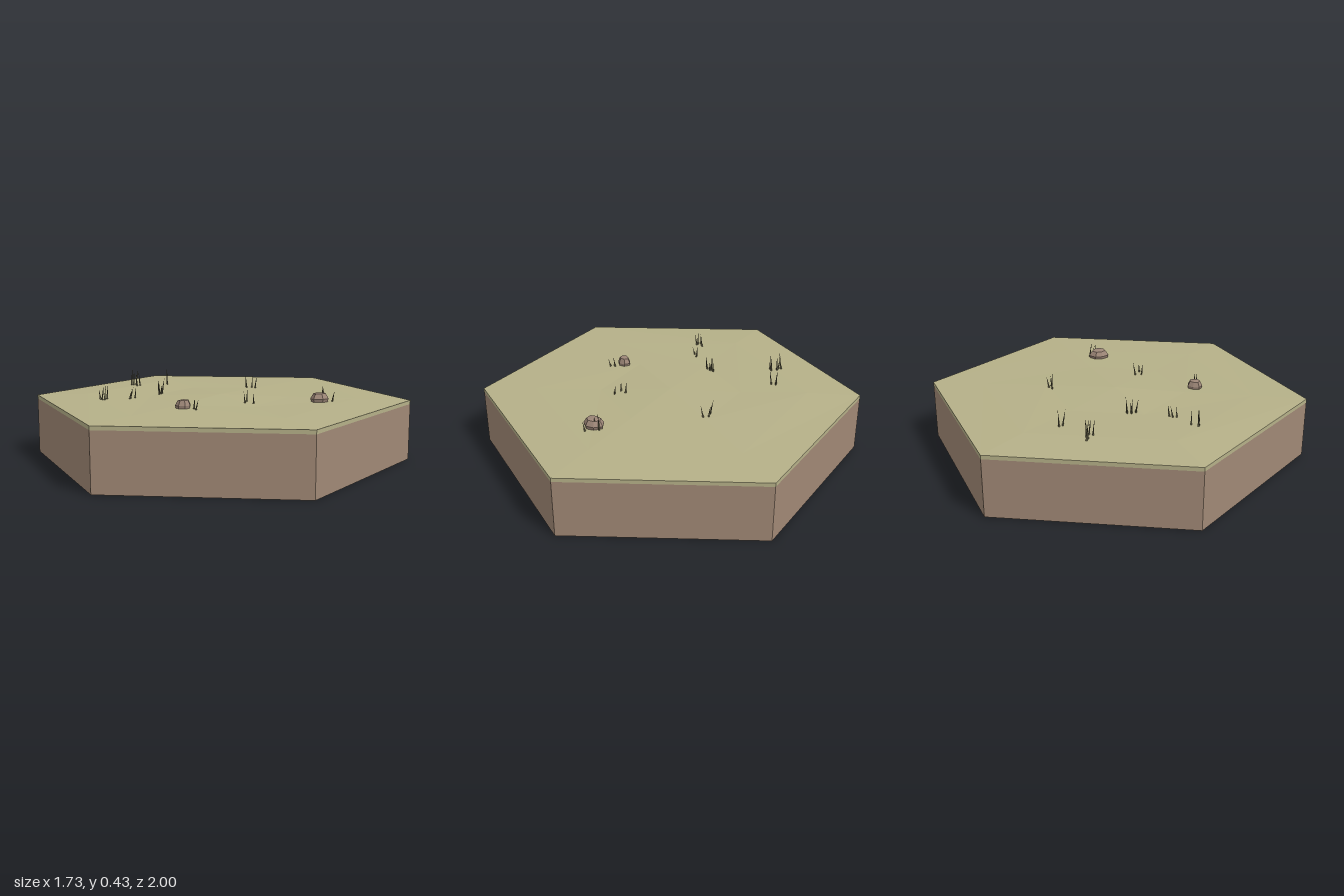
import * as THREE from 'three';

const material = (name, color) => {
  const m = new THREE.MeshStandardMaterial({ color });
  m.name = name;
  return m;
};

// split faces so every facet keeps its own flat normal
function faceted(geometry) {
  const g = geometry.index ? geometry.toNonIndexed() : geometry;
  g.computeVertexNormals();
  return g;
}

// seeded random numbers from 0 to 1
function seeded(seed) {
  return () => (seed = (seed * 16807) % 2147483647) / 2147483647;
}

function addMesh(parent, name, geometry, mat) {
  const mesh = new THREE.Mesh(geometry, mat);
  mesh.name = name;
  parent.add(mesh);
  return mesh;
}

// hexagonal rings from the rim's lower edge in to the gently raised centre
function turfGeometry() {
  const rings = [
    { r: 0.37, y: [0.323, 0.319, 0.325, 0.326, 0.321, 0.32] },
    { r: 0.72, y: [0.319, 0.32, 0.321, 0.319, 0.324, 0.325] },
    { r: 1, y: Array(6).fill(0.315) },
    { r: 1, y: Array(6).fill(0.295) },
  ];
  const positions = [0, 0.334, 0];
  for (const { r, y } of rings) {
    for (let i = 0; i < 6; i++) {
      const a = (i * Math.PI) / 3;
      positions.push(r * Math.sin(a), y[i], r * Math.cos(a));
    }
  }
  const index = [];
  for (let i = 0; i < 6; i++) {
    const j = (i + 1) % 6;
    index.push(0, 1 + i, 1 + j);
    for (let k = 0; k < rings.length - 1; k++) {
      const a = 1 + k * 6, b = a + 6;
      index.push(a + i, b + i, b + j, a + i, b + j, a + j);
    }
  }
  const g = new THREE.BufferGeometry();
  g.setAttribute('position', new THREE.Float32BufferAttribute(positions, 3));
  g.setIndex(index);
  return faceted(g);
}

// low dome with an uneven outline
function rockGeometry(radius, height, phase) {
  const profile = [[0, 0], [0.9, 0], [1, 0.35], [0.68, 0.9], [0, 1]]
    .map(([r, y]) => new THREE.Vector2(r * radius, y * height));
  const g = new THREE.LatheGeometry(profile, 7);
  const p = g.attributes.position;
  for (let i = 0; i < p.count; i++) {
    const x = p.getX(i), z = p.getZ(i), a = Math.atan2(x, z);
    const s = 1 + 0.1 * Math.sin(2 * a + phase) + 0.06 * Math.cos(3 * a + phase);
    p.setXYZ(i, x * s, p.getY(i) * (1 + 1.5 * x), z * s);
  }
  return faceted(g);
}

// thin three-sided blade whose tip leans sideways
function bladeGeometry(height, lean) {
  const g = new THREE.ConeGeometry(0.006, height, 3);
  g.translate(0, height / 2, 0);
  const p = g.attributes.position;
  for (let i = 0; i < p.count; i++) {
    p.setX(i, p.getX(i) + lean * (p.getY(i) / height) ** 2);
  }
  return faceted(g);
}

export function createModel() {
  const soil = material('soil', 0xa08875);
  const turf = material('turf', 0xb5b088);
  const stone = material('stone', 0x9b8576);
  const grass = material('dry grass', 0x67634a);

  const model = new THREE.Group();
  model.name = 'hexTile';

  // ground
  const soilGeometry = faceted(new THREE.CylinderGeometry(1, 1, 0.295, 6));
  addMesh(model, 'soilBase', soilGeometry, soil).position.y = 0.1475;
  addMesh(model, 'turfTop', turfGeometry(), turf);

  // rocks
  const rocks = [
    { x: 0.51, z: -0.162, r: 0.052, h: 0.047, phase: 0.6 },
    { x: 0.075, z: 0.417, r: 0.038, h: 0.046, phase: 2.2 },
  ];
  for (const { x, z, r, h, phase } of rocks) {
    addMesh(model, 'rock', rockGeometry(r, h, phase), stone).position.set(x, 0.32, z);
  }

  // grass tufts: tallest blade, then the x and z of every blade
  const tufts = [
    [0.095, [-0.53, -0.205], [-0.515, -0.19]],
    [0.11, [-0.67, -0.05], [-0.65, -0.045], [-0.64, -0.055], [-0.61, -0.03], [-0.605, -0.05]],
    [0.09, [-0.32, 0.1], [-0.31, 0.12], [-0.305, 0.14], [-0.32, 0.12]],
    [0.07, [-0.33, 0.31], [-0.345, 0.33], [-0.34, 0.345]],
    [0.09, [-0.43, 0.42], [-0.44, 0.455], [-0.415, 0.455], [-0.425, 0.46]],
    [0.09, [-0.05, -0.33], [-0.03, -0.35], [-0.005, -0.345]],
    [0.085, [0.225, 0.085], [0.235, 0.115], [0.28, 0.1]],
    [0.065, [0.135, 0.41], [0.155, 0.425]],
    [0.095, [0.505, -0.215], [0.52, -0.2], [0.57, -0.19]],
  ];
  const random = seeded(41);
  for (const [tallest, ...blades] of tufts) {
    const tuft = new THREE.Group();
    tuft.name = 'grassTuft';
    blades.forEach(([x, z], i) => {
      const height = tallest * (i === 0 ? 1 : 0.65 + 0.3 * random());
      const blade = addMesh(tuft, 'blade', bladeGeometry(height, 0.006 + 0.012 * random()), grass);
      blade.position.set(x, 0.317, z);
      blade.rotation.y = random() * Math.PI * 2;
    });
    model.add(tuft);
  }
  return model;
}
